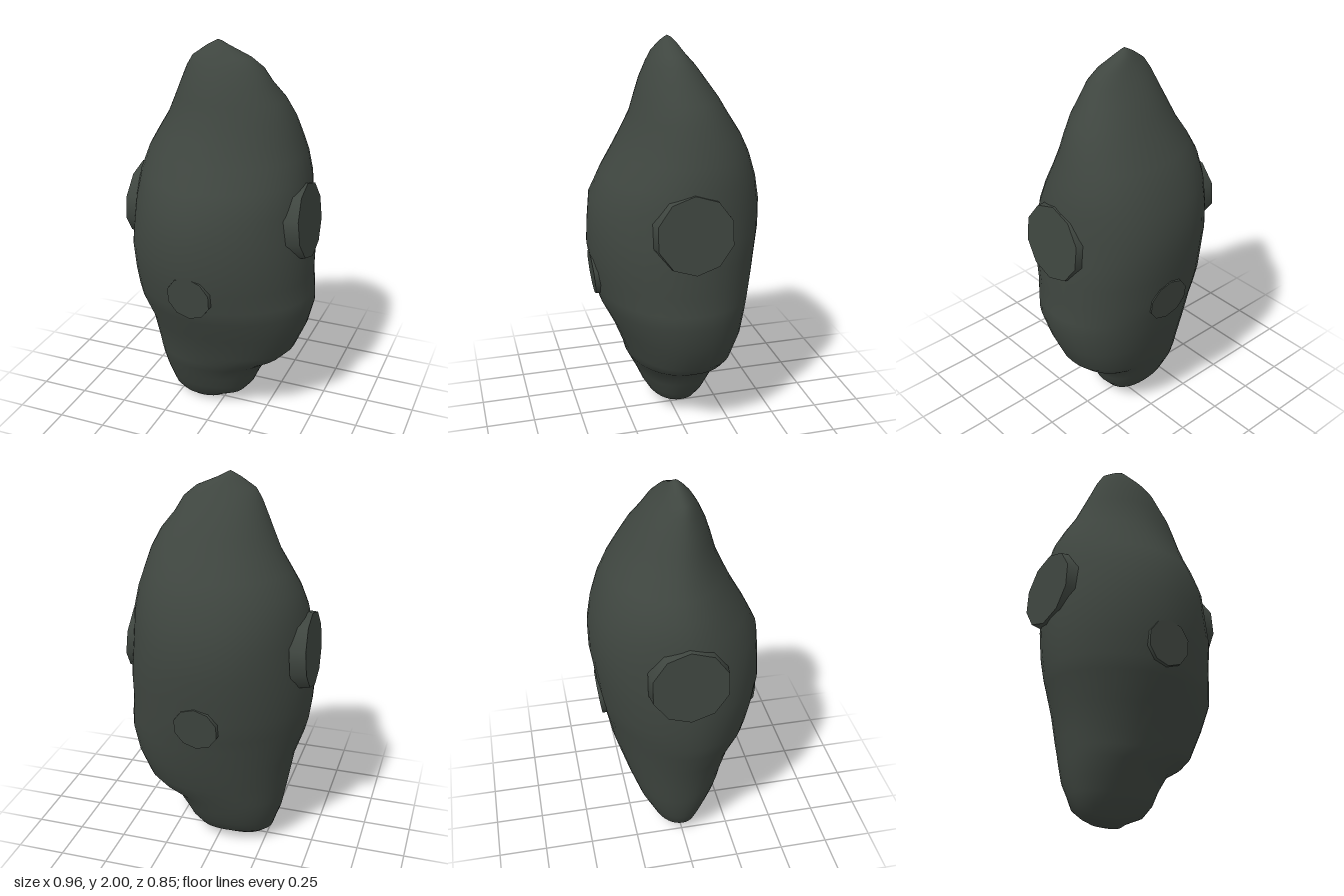
import * as THREE from 'three';

// Cross-sections from base to tip: height, x min, x max, z min (back), z max (front)
const RINGS = [
  [0.008, -0.19, -0.02, -0.045, 0.045],
  [0.03, -0.235, 0.015, -0.08, 0.07],
  [0.07, -0.28, 0.11, -0.135, 0.105],
  [0.13, -0.3, 0.16, -0.17, 0.14],
  [0.2, -0.325, 0.19, -0.205, 0.17],
  [0.28, -0.34, 0.235, -0.235, 0.21],
  [0.335, -0.35, 0.325, -0.26, 0.235],
  [0.39, -0.36, 0.38, -0.28, 0.25],
  [0.53, -0.385, 0.44, -0.325, 0.305],
  [0.66, -0.43, 0.475, -0.35, 0.37],
  [0.73, -0.447, 0.472, -0.367, 0.388],
  [0.83, -0.46, 0.462, -0.387, 0.408],
  [0.96, -0.468, 0.465, -0.402, 0.428],
  [1.08, -0.46, 0.45, -0.42, 0.422],
  [1.22, -0.445, 0.435, -0.422, 0.41],
  [1.34, -0.43, 0.425, -0.4, 0.35],
  [1.45, -0.395, 0.4, -0.365, 0.287],
  [1.54, -0.345, 0.37, -0.322, 0.243],
  [1.63, -0.29, 0.342, -0.263, 0.203],
  [1.72, -0.25, 0.297, -0.21, 0.177],
  [1.8, -0.215, 0.235, -0.155, 0.15],
  [1.87, -0.185, 0.195, -0.105, 0.117],
  [1.92, -0.155, 0.137, -0.062, 0.087],
  [1.97, -0.085, 0.025, -0.03, 0.047],
  [1.99, -0.05, -0.01, -0.01, 0.025],
];
const SEGMENTS = 40;

// Signed power: values below 1 square off a round section
const spow = (v, e) => Math.sign(v) * Math.pow(Math.abs(v), e);

// Smooth lofted boulder with closed ends
function boulderGeometry() {
  const pos = [], index = [];
  for (const [y, x0, x1, z0, z1] of RINGS) {
    const cx = (x0 + x1) / 2, cz = (z0 + z1) / 2;
    const rx = (x1 - x0) / 2, rz = (z1 - z0) / 2;
    const low = THREE.MathUtils.clamp((0.7 - y) / 0.3, 0, 1);
    for (let j = 0; j < SEGMENTS; j++) {
      const a = (j / SEGMENTS) * Math.PI * 2;
      const c = Math.cos(a), s = Math.sin(a);
      // fuller at the back left, a little squarer towards the base
      const e = 1 - 0.05 * (c - s) - 0.08 * low;
      const u = spow(c, e), v = spow(s, e);
      pos.push(cx + rx * u, y, cz + rz * v - 0.07 * rx * u);
    }
  }
  const at = (i, j) => i * SEGMENTS + (j % SEGMENTS);
  const last = RINGS.length - 1, bottom = RINGS.length * SEGMENTS, top = bottom + 1;
  pos.push(-0.1, 0, 0, -0.03, 2, 0.01);
  for (let j = 0; j < SEGMENTS; j++) {
    for (let i = 0; i < last; i++) {
      const a = at(i, j), b = at(i, j + 1), c = at(i + 1, j), d = at(i + 1, j + 1);
      index.push(a, c, b, b, c, d);
    }
    index.push(bottom, at(0, j), at(0, j + 1));
    index.push(top, at(last, j + 1), at(last, j));
  }
  const geo = new THREE.BufferGeometry();
  geo.setAttribute('position', new THREE.Float32BufferAttribute(pos, 3));
  geo.setIndex(index);
  geo.computeVertexNormals();
  return geo;
}

export function createModel() {
  const group = new THREE.Group();
  group.name = 'boulder';
  const stone = new THREE.MeshStandardMaterial({ color: 0x3f4640 });
  stone.name = 'dark stone';

  const body = new THREE.Mesh(boulderGeometry(), stone);
  body.name = 'body';
  group.add(body);

  // Flat round facets: large ones on the flanks, small flush ones front and back.
  // turn is the heading about y, tilt leans the face upwards.
  const facets = [
    { name: 'leftFacet', at: [0.452, 1.14, -0.005], r: 0.193, turn: Math.PI / 2, tilt: 0.1 },
    { name: 'rightFacet', at: [-0.468, 1.14, -0.005], r: 0.193, turn: -Math.PI / 2, tilt: 0.065 },
    { name: 'frontFacet', at: [-0.03, 0.81, 0.411], r: 0.115, turn: -0.04, tilt: -0.1 },
    { name: 'backFacet', at: [0.03, 0.81, -0.39], r: 0.115, turn: Math.PI - 0.04, tilt: -0.13 },
  ];
  for (const { name, at, r, turn, tilt } of facets) {
    const geo = new THREE.CylinderGeometry(r, r * 1.05, 0.08, 10);
    geo.translate(0, -0.04, 0);
    const facet = new THREE.Mesh(geo, stone);
    facet.name = name;
    facet.position.set(...at);
    facet.rotation.set(Math.PI / 2 - tilt, turn, 0, 'YXZ');
    group.add(facet);
  }
  return group;
}
